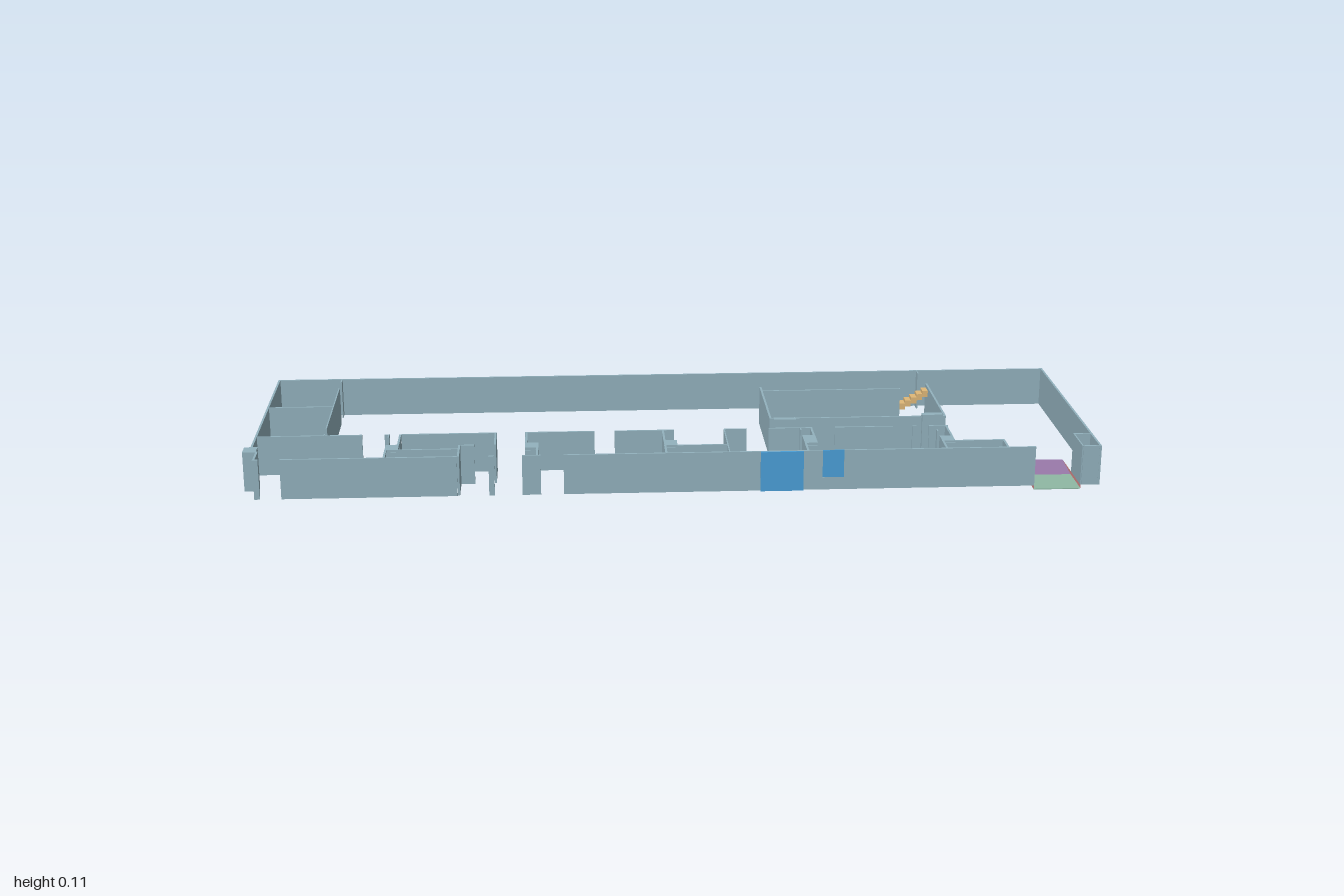
import * as THREE from 'three';

const Y0 = 0.01, Y1 = 0.106, T = 0.005;
const mat = (color) => new THREE.MeshStandardMaterial({ color, flatShading: true, side: THREE.DoubleSide });
const WALL = mat(0x93b2be), BLUE = mat(0x4a9fd8), TAN = mat(0xe0b878), BROWN = mat(0xb59a68);
const GREEN = mat(0x8fb8a4), PURPLE = mat(0x9878a8), RED = mat(0xd88888);

export function createModel() {
  const model = new THREE.Group();

  const box = (name, x0, x1, y0, y1, z0, z1, m = WALL, parent = model) => {
    const mesh = new THREE.Mesh(new THREE.BoxGeometry(x1 - x0, y1 - y0, z1 - z0), m);
    mesh.position.set((x0 + x1) / 2, (y0 + y1) / 2, (z0 + z1) / 2);
    mesh.name = name;
    parent.add(mesh);
    return mesh;
  };
  // Walls along x (z, then start/end pairs) and along z (x, then start/end pairs)
  const rowX = (name, z, spans, t = T) =>
    spans.forEach(([a, b]) => box(name, a, b, Y0, Y1, z - t / 2, z + t / 2));
  const rowZ = (name, x, spans, t = T) =>
    spans.forEach(([a, b]) => box(name, x - t / 2, x + t / 2, Y0, Y1, a, b));

  // Outer shell
  rowX('backWall', -0.316, [[-0.985, 1]]);
  rowZ('leftSideWall', 0.9975, [[-0.318, 0.312]]);
  rowZ('rightSideWall', -0.983, [[-0.318, 0.218]]);
  rowX('frontWall', 0.309, [
    [-0.97, -0.957], [-0.908, -0.503], [-0.43, -0.417], [-0.353, -0.31],
    [-0.257, 0.345], [0.395, 0.845], [0.957, 1],
  ]);
  rowZ('frontCornerWall', -0.967, [[0.25, 0.311]]);

  // Front glazing
  box('frontDoorPanel', 0.2, 0.3, Y0, Y1, 0.3115, 0.317, BLUE);
  box('windowSill', 0.345, 0.395, Y0, 0.04, 0.3065, 0.3115);
  box('window', 0.345, 0.395, 0.04, Y1, 0.3075, 0.3105, BLUE);

  // End rooms
  rowZ('endRoomWall', -0.823, [[-0.316, -0.29], [-0.24, 0.085], [0.128, 0.142]], 0.003);
  rowX('endRoomDivider', -0.085, [[-0.985, -0.823]]);
  rowZ('backWallStub', 0.668, [[-0.316, -0.29]], 0.003);

  // Corridor wall with door gaps
  rowX('corridorWall', 0.141, [
    [-0.985, -0.733], [-0.68, -0.668], [-0.64, -0.417], [-0.348, -0.182], [-0.134, 0.008],
    [0.128, 0.182], [0.235, 0.34], [0.395, 0.535], [0.582, 0.592], [0.622, 0.668],
  ]);

  // Service shafts between the front rooms: [left edge, upper wall x, lower wall x, shaft start z]
  [
    [-1.0, null, null, 0.217],
    [-0.672, -0.643, -0.67, 0.217],
    [-0.346, -0.344, -0.318, 0.217],
    [-0.021, -0.019, -0.019, 0.217],
    [0.309, 0.337, 0.311, 0.198],
    [0.634, 0.663, 0.636, 0.217],
  ].forEach(([x, upper, lower, z]) => {
    box('serviceShaft', x, x + 0.031, Y0, Y1, z, 0.254);
    if (upper === null) return;
    rowZ('roomPartition', upper, [[0.14, z]]);
    rowZ('roomPartition', lower, [[0.254, 0.309]]);
    rowX('shaftNib', 0.272, [[x, x + 0.028]], 0.003);
  });
  rowZ('doorStub', -0.67, [[0.141, 0.163]], 0.003);
  rowZ('doorStub', 0.311, [[0.141, 0.157]], 0.003);
  rowZ('doorStub', 0.636, [[0.17, 0.182]], 0.003);

  // Small inner rooms
  rowX('innerRoomWall', 0.254, [[-0.643, -0.5], [0.01, 0.128], [0.663, 0.782]]);
  rowZ('innerRoomWall', -0.5, [[0.228, 0.309]]);
  rowX('innerRoomWall', 0.228, [[-0.5, -0.465]]);
  rowZ('innerRoomWall', -0.417, [[0.14, 0.227]]);
  rowZ('innerRoomWall', 0.128, [[0.14, 0.309]], 0.003);
  rowZ('innerRoomWall', 0.78, [[0.254, 0.309]]);

  // Entrance recess
  rowX('entranceWall', 0.22, [[0.955, 0.998]]);
  rowZ('entranceWall', 0.956, [[0.22, 0.309]], 0.003);

  // Central core
  rowZ('coreSideWall', 0.247, [[-0.19, 0.066]]);
  rowZ('coreSideWall', 0.674, [[-0.2, 0.066]]);
  rowX('coreBackWall', -0.16, [[0.247, 0.6]]);
  rowX('coreFrontWall', 0.066, [[0.247, 0.676]]);
  box('coreDoor', 0.255, 0.308, Y0, Y1, 0.06, 0.076);
  box('coreDoor', 0.617, 0.667, 0.003, 0.112, 0.06, 0.077);

  // Stair: landing and steps
  const stair = new THREE.Group();
  stair.name = 'stair';
  model.add(stair);
  box('landing', 0.512, 0.6, 0.045, 0.06, -0.195, -0.163, BROWN, stair);
  const steps = 5, run = 0.072 / steps;
  for (let i = 0; i < steps; i++) {
    const y = 0.066 + i * 0.008;
    box('step', 0.6 + i * run, 0.6 + (i + 1) * run, y - 0.016, y, -0.19, -0.16, TAN, stair);
  }

  // Entrance floor and ramp
  box('entranceFloor', 0.845, 0.955, 0, 0.002, 0.215, 0.312, GREEN);
  const ramp = box('ramp', 0.845, 0.955, 0, 0.002, 0.13, 0.215, PURPLE);
  const p = ramp.geometry.attributes.position;
  for (let i = 0; i < p.count; i++) if (p.getZ(i) < 0) p.setY(i, p.getY(i) + 0.008);
  ramp.geometry.computeVertexNormals();

  // Curbs closing the sides of the recess
  const side = new THREE.Shape([[-0.312, 0.001], [-0.215, 0.001], [-0.13, 0.009], [-0.312, 0.009]]
    .map(([a, b]) => new THREE.Vector2(a, b)));
  for (const x of [0.8445, 0.9555]) {
    const curb = new THREE.Mesh(new THREE.ShapeGeometry(side), RED);
    curb.rotation.y = Math.PI / 2;
    curb.position.x = x;
    curb.name = 'rampCurb';
    model.add(curb);
  }
  return model;
}
